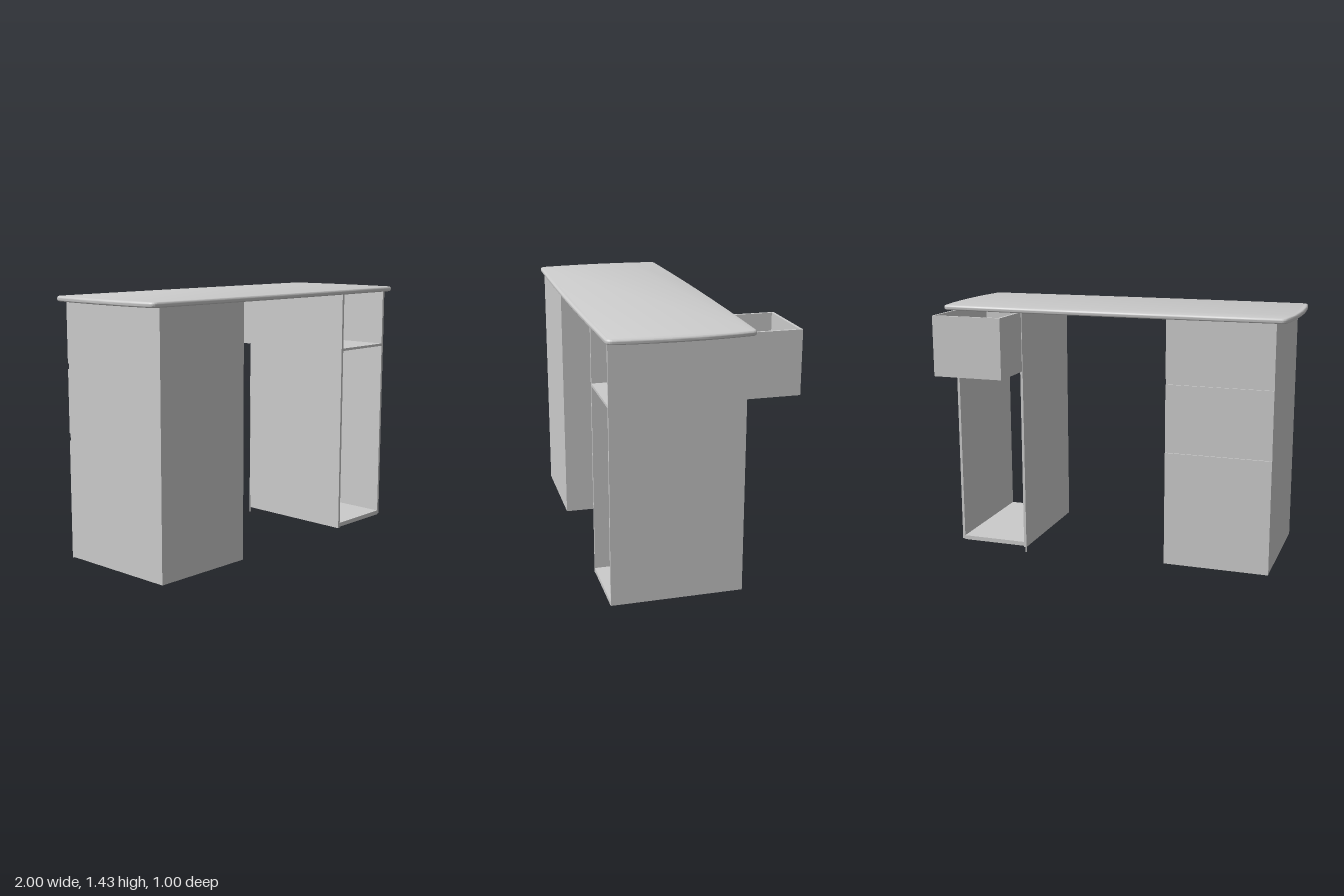
import * as THREE from 'three';
import { toCreasedNormals } from 'three/addons/utils/BufferGeometryUtils.js';

const material = new THREE.MeshStandardMaterial({ color: 0xcccccc, side: THREE.DoubleSide });

// Box given by its limits along x, y and z
function slab(parent, name, [x0, x1], [y0, y1], [z0, z1]) {
  const geometry = new THREE.BoxGeometry(x1 - x0, y1 - y0, z1 - z0);
  geometry.translate((x0 + x1) / 2, (y0 + y1) / 2, (z0 + z1) / 2);
  const mesh = new THREE.Mesh(geometry, material);
  mesh.name = name;
  parent.add(mesh);
  return mesh;
}

function group(parent, name) {
  const g = new THREE.Group();
  g.name = name;
  parent.add(g);
  return g;
}

// Worktop with gently bowed sides and a rounded rim
function worktop() {
  const bevel = 0.012;
  const hx = 0.975 - bevel, hz = 0.37 - bevel, r = 0.02;
  const s = new THREE.Shape();
  s.moveTo(-hx + r, -hz);
  s.quadraticCurveTo(0, -hz - 0.024, hx - r, -hz);
  s.quadraticCurveTo(hx, -hz, hx + 0.003, -hz + r);
  s.bezierCurveTo(hx + 0.034, -0.12, hx + 0.034, 0.12, hx + 0.003, hz - r);
  s.quadraticCurveTo(hx, hz, hx - r, hz);
  s.quadraticCurveTo(0, hz + 0.024, -hx + r, hz);
  s.quadraticCurveTo(-hx, hz, -hx - 0.003, hz - r);
  s.bezierCurveTo(-hx - 0.034, 0.12, -hx - 0.034, -0.12, -hx - 0.003, -hz + r);
  s.quadraticCurveTo(-hx, -hz, -hx + r, -hz);
  let geometry = new THREE.ExtrudeGeometry(s, {
    depth: 0.004, bevelEnabled: true, bevelThickness: bevel, bevelSize: bevel,
    bevelSegments: 4, curveSegments: 10,
  });
  geometry.rotateX(-Math.PI / 2);
  geometry.translate(0, 1.404 + bevel, 0.118);
  geometry = toCreasedNormals(geometry, 0.6);
  const mesh = new THREE.Mesh(geometry, material);
  mesh.name = 'worktop';
  return mesh;
}

export function createModel() {
  const desk = new THREE.Group();
  desk.name = 'desk';
  desk.add(worktop());

  // Closed cabinet with three drawer fronts on the back
  const cabinet = group(desk, 'drawerCabinet');
  const body = slab(cabinet, 'cabinetBody', [-0.92, -0.33], [0.04, 1.41], [-0.222, 0.47]);
  // The underside drops slightly towards the back inner corner
  const p = body.geometry.attributes.position;
  for (let i = 0; i < p.count; i++) {
    if (p.getY(i) < 0.5) {
      p.setY(i, 0.04 - (p.getX(i) > -0.5 ? 0.006 : 0) - (p.getZ(i) < 0 ? 0.006 : 0));
    }
  }
  body.geometry.computeVertexNormals();
  for (const span of [[0.03, 0.67], [0.71, 1.05], [1.08, 1.41]]) {
    slab(cabinet, 'drawerFront', [-0.92, -0.33], span, [-0.23, -0.222]);
  }

  // Open cabinet: two side walls, floor and shelf
  const open = group(desk, 'openCabinet');
  const depth = [-0.225, 0.47];
  slab(open, 'innerWall', [0.505, 0.52], [0.03, 1.41], depth);
  slab(open, 'outerWall', [0.9, 0.915], [0.04, 1.41], depth);
  slab(open, 'floor', [0.52, 0.9], [0.036, 0.06], depth);
  slab(open, 'shelf', [0.52, 0.9], [1.08, 1.094], depth);
  slab(open, 'edgeStrip', [0.503, 0.51], [0, 1.07], [-0.23, -0.225]);

  // Drawer pulled out through the back
  const drawer = group(desk, 'openDrawer');
  const height = [1.072, 1.406];
  slab(drawer, 'drawerSide', [0.509, 0.524], height, [-0.505, 0.16]);
  slab(drawer, 'drawerSide', [0.894, 0.909], height, [-0.505, 0.16]);
  slab(drawer, 'drawerOuterPanel', [0.524, 0.894], height, [-0.505, -0.49]);
  slab(drawer, 'drawerInnerPanel', [0.524, 0.894], height, [0.145, 0.16]);
  slab(drawer, 'drawerBottom', [0.524, 0.894], [1.072, 1.086], [-0.49, 0.145]);

  return desk;
}
